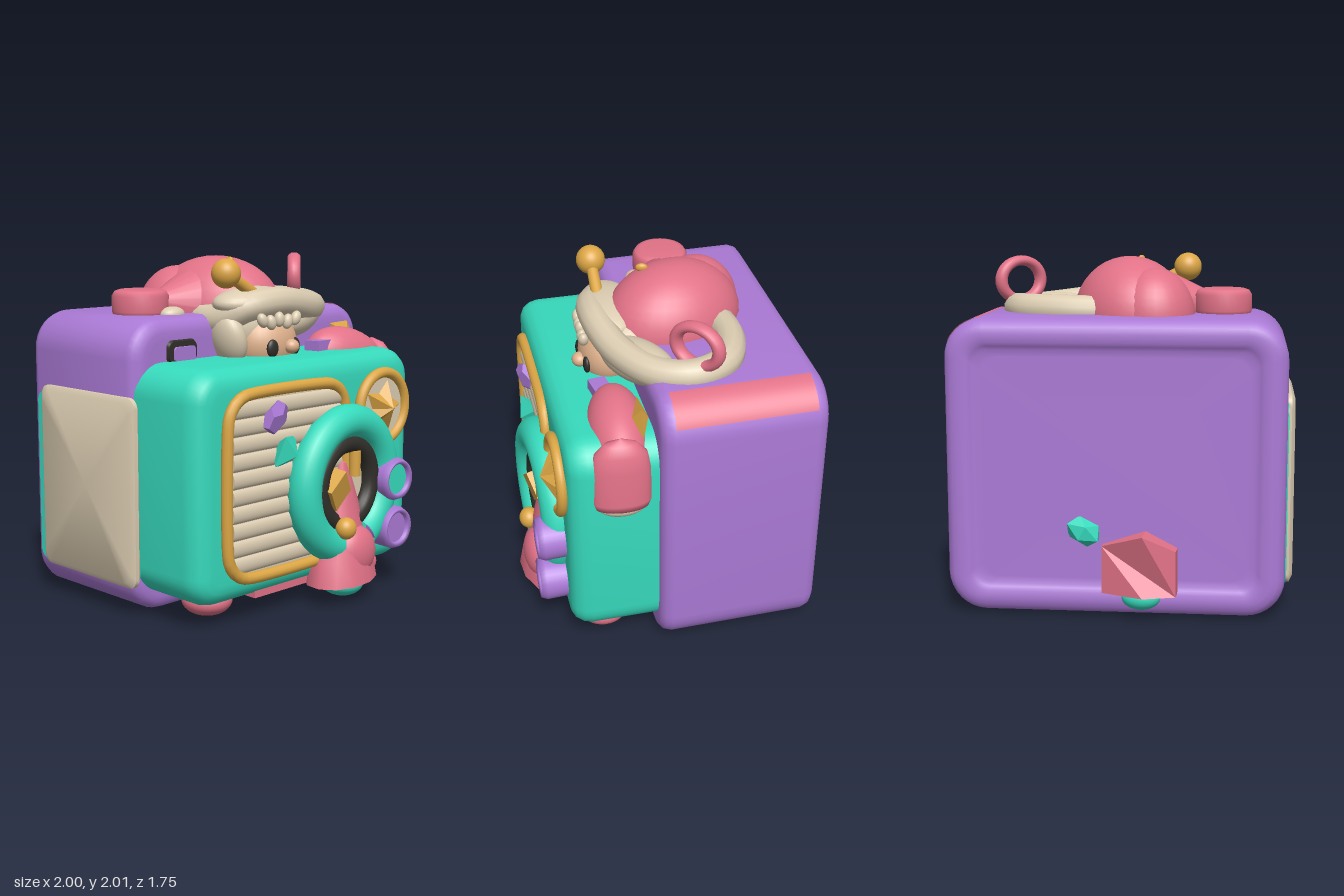
import * as THREE from 'three';
import { toCreasedNormals } from 'three/addons/utils/BufferGeometryUtils.js';

const mat = (name, color) => {
  const m = new THREE.MeshStandardMaterial({ color, side: THREE.DoubleSide });
  m.name = name;
  return m;
};
const V = (x, y, z) => new THREE.Vector3(x, y, z);

// Points around a rounded rectangle, counter-clockwise
function roundedLoop(w, h, r, seg = 8) {
  const pts = [];
  const corners = [[1, 1], [-1, 1], [-1, -1], [1, -1]];
  corners.forEach(([sx, sy], c) => {
    for (let i = 0; i <= seg; i++) {
      const a = (c + i / seg) * Math.PI / 2;
      pts.push([sx * (w / 2 - r) + r * Math.cos(a), sy * (h / 2 - r) + r * Math.sin(a)]);
    }
  });
  return pts;
}

// Stack of rounded rectangles along z; profile rows are [inset, z]
function loft(w, h, r, profile) {
  const pos = [], idx = [];
  let n = 0;
  for (const [inset, z] of profile) {
    const loop = roundedLoop(w - 2 * inset, h - 2 * inset, Math.max(r - inset, Math.min(r, 0.1)));
    n = loop.length;
    loop.forEach(([x, y]) => pos.push(x, y, z));
  }
  const last = profile.length - 1, c0 = profile.length * n, c1 = c0 + 1;
  pos.push(0, 0, profile[0][1], 0, 0, profile[last][1]);
  for (let j = 0; j < n; j++) {
    const k = (j + 1) % n;
    for (let i = 0; i < last; i++) {
      const a = i * n + j, b = i * n + k;
      idx.push(a, b, b + n, a, b + n, a + n);
    }
    idx.push(c0, k, j, c1, last * n + j, last * n + k);
  }
  const g = new THREE.BufferGeometry();
  g.setAttribute('position', new THREE.Float32BufferAttribute(pos, 3));
  g.setIndex(idx);
  return toCreasedNormals(g, 0.6);
}

export function createModel() {
  const purple = mat('purple', 0xab7ad6), teal = mat('teal', 0x37dabd), pink = mat('pink', 0xe27287),
    cream = mat('cream', 0xdccdb2), gold = mat('gold', 0xdca645), black = mat('black', 0x312f2a),
    skin = mat('skin', 0xdfb18c);
  const root = new THREE.Group();
  const group = (name, p, ry) => {
    const g = new THREE.Group();
    g.name = name;
    g.position.set(...p);
    g.rotation.y = ry;
    root.add(g);
    return g;
  };
  const add = (parent, name, geo, m, p = [0, 0, 0], rot = [0, 0, 0], s = [1, 1, 1]) => {
    const o = new THREE.Mesh(geo, m);
    o.name = name;
    o.position.set(...p);
    o.rotation.set(...rot);
    o.scale.set(...s);
    parent.add(o);
    return o;
  };
  const ball = (parent, name, m, p, s, rot) => add(parent, name, new THREE.SphereGeometry(1, 32, 20), m, p, rot, s);
  const tube = (parent, name, m, pts, r) =>
    add(parent, name, new THREE.TubeGeometry(new THREE.CatmullRomCurve3(pts, true), 80, r, 12, true), m);
  const rod = (parent, name, m, a, b, ra, rb) => {
    const d = b.clone().sub(a);
    const o = add(parent, name, new THREE.CylinderGeometry(rb, ra, d.length(), 20), m, a.clone().lerp(b, 0.5).toArray());
    o.quaternion.setFromUnitVectors(V(0, 1, 0), d.normalize());
  };
  const lathe = (pts, seg = 32) => new THREE.LatheGeometry(pts.map(([x, y]) => new THREE.Vector2(x, y)), seg);
  const faceted = (geo) => toCreasedNormals(geo, 0.1);

  // Rear body with a recessed back panel
  const rear = group('rearBody', [0.015, 0.845, -0.29], 0.065);
  add(rear, 'rearShell', loft(1.91, 1.67, 0.22, [[0.21, -0.445], [0.17, -0.446], [0.15, -0.458], [0.13, -0.47], [0.08, -0.47],
    [0.045, -0.463], [0.015, -0.44], [0, -0.4], [0, 0.4], [0.015, 0.44], [0.045, 0.463], [0.08, 0.47], [0.12, 0.47]]), purple);
  add(rear, 'edgeStripe', new THREE.CylinderGeometry(0.224, 0.224, 0.79, 20, 1, true, 0.12, Math.PI / 2 - 0.55), pink,
    [0.735, 0.615, 0], [-Math.PI / 2, 0, 0]);
  const sideProfile = [[0.02, -0.03], [0, -0.01], [0, 0.015], [0.03, 0.035]];
  add(rear, 'sidePanel', loft(0.84, 1.08, 0.06, sideProfile), cream, [-0.963, -0.125, 0.08], [0, -Math.PI / 2, 0]);
  add(rear, 'sidePanelBacking', loft(0.88, 1.02, 0.06, [[0, -0.02], [0, 0.012]]), teal, [-0.95, -0.14, 0.04], [0, -Math.PI / 2, 0]);
  add(rear, 'windowFrame', loft(0.23, 0.14, 0.04, [[0, 0], [0.01, 0.025]]), black, [-0.6, 0.645, 0.462]);
  add(rear, 'windowFill', loft(0.18, 0.1, 0.02, [[0, 0], [0.01, 0.03]]), purple, [-0.588, 0.632, 0.464]);

  // Ridged pocket on the back
  const pocket = new THREE.Shape([[-0.21, -0.17], [-0.03, -0.17], [0.21, -0.17], [0.21, 0.1], [-0.03, 0.18], [-0.21, 0.09]]
    .map(([x, y]) => new THREE.Vector2(x, y)));
  const pocketGeo = new THREE.ExtrudeGeometry(pocket, { depth: 0.15, bevelEnabled: false });
  const pp = pocketGeo.attributes.position;
  for (let i = 0; i < pp.count; i++)
    if (pp.getZ(i) < 0.01) pp.setZ(i, Math.abs(pp.getX(i) + 0.03) * 0.35);
  add(root, 'backPocket', faceted(pocketGeo), pink, [-0.16, 0.32, -0.875]);
  add(root, 'backGem', faceted(new THREE.IcosahedronGeometry(0.11)), teal, [0.16, 0.49, -0.74], [0, 0, 0.5], [1.05, 0.75, 0.7]);
  ball(root, 'backFoot', teal, [-0.17, 0.13, -0.77], [0.11, 0.07, 0.08]);

  // Front body
  const front = group('frontBody', [-0.037, 0, 0], 0.055);
  add(front, 'frontShell', loft(1.81, 1.31, 0.18, [[0, 0], [0, 0.56], [0.012, 0.61], [0.04, 0.65], [0.08, 0.67], [0.12, 0.675], [0.17, 0.675]]),
    teal, [0.045, 0.785, 0]);

  // Rippled grille in a round gold frame
  add(front, 'grillePanel', loft(0.94, 1.02, 0.14, [[0, 0.66], [0, 0.684]]), cream, [-0.17, 0.78, 0]);
  for (let i = 0; i < 10; i++)
    add(front, 'slat', new THREE.CylinderGeometry(1, 1, 0.88, 20), cream, [-0.17, 0.348 + i * 0.096, 0.679],
      [0, 0, Math.PI / 2], [0.048, 1, 0.026]);
  tube(front, 'grilleFrame', gold, roundedLoop(0.95, 1.03, 0.17, 4).map(([x, y]) => V(x - 0.17, y + 0.78, 0.69)), 0.034);
  add(front, 'purpleGem', faceted(new THREE.DodecahedronGeometry(0.115)), purple, [-0.3, 1.15, 0.71], [0.2, 0.3, 0.4], [1, 0.85, 0.45]);
  add(front, 'tealGem', faceted(new THREE.OctahedronGeometry(0.13)), teal, [-0.22, 0.95, 0.71], [0.3, 0.4, 0.5], [1, 0.9, 0.6]);

  // Large open ring with a dark liner, tilted a little
  const ringPos = [0.28, 0.69, 0.715], ringTilt = 0.06;
  add(front, 'bigRing', new THREE.TorusGeometry(0.37, 0.1, 20, 64, Math.PI * 2 - 0.75), teal, ringPos, [0, ringTilt, -1.1]);
  add(front, 'ringLiner', new THREE.TorusGeometry(0.24, 0.06, 16, 48), black, ringPos, [0, ringTilt, 0]);
  add(front, 'ringHub', new THREE.CircleGeometry(0.23, 32), cream, [0.28, 0.69, 0.695]);
  add(front, 'goldCube', new THREE.BoxGeometry(0.17, 0.17, 0.12), gold, [0.16, 0.68, 0.73], [0.2, 0.2, 0.65]);
  ball(front, 'goldBead', gold, [0.19, 0.45, 0.81], [0.065, 0.065, 0.06]);
  rod(front, 'goldPin', gold, V(0.34, 0.73, 0.74), V(0.34, 0.88, 0.74), 0.036, 0.036);

  // Pointed robe and its foot
  add(front, 'robe', toCreasedNormals(lathe([[0, 0.1], [0.29, 0.11], [0.25, 0.26], [0.175, 0.4], [0.13, 0.58], [0.04, 0.81], [0, 0.83]], 12), 0.7),
    pink, [0.29, 0, 0.69], [0, 0.26, 0], [1, 1, 0.66]);
  ball(front, 'robeFront', pink, [0.31, 0.28, 0.77], [0.16, 0.16, 0.1]);
  add(front, 'robeHem', new THREE.BoxGeometry(0.9, 0.06, 0.25), pink, [0.08, 0.14, 0.5]);
  ball(front, 'robeFoot', teal, [0.3, 0.085, 0.69], [0.13, 0.083, 0.13]);

  // Star badge
  add(front, 'badgeDisc', new THREE.CylinderGeometry(0.21, 0.21, 0.03, 40), cream, [0.64, 1.1, 0.68], [Math.PI / 2, 0, 0]);
  add(front, 'badgeRing', new THREE.TorusGeometry(0.21, 0.032, 14, 48), gold, [0.64, 1.1, 0.695]);
  const star = new THREE.ConeGeometry(0.185, 0.1, 10);
  const sp = star.attributes.position;
  for (let i = 0; i < sp.count; i++) {
    const k = Math.round(Math.atan2(sp.getX(i), sp.getZ(i)) / (Math.PI / 5));
    const f = k % 2 ? 0.55 : 1;
    sp.setXYZ(i, sp.getX(i) * f, sp.getY(i), sp.getZ(i) * f);
  }
  add(front, 'star', faceted(star), gold, [0.64, 1.1, 0.735], [Math.PI / 2, 0.35, 0]);

  // Two round knobs
  for (const [y, fill] of [[0.67, teal], [0.37, purple]]) {
    add(front, 'knob', lathe([[0.125, 0], [0.13, 0.13], [0.115, 0.165], [0.095, 0.155], [0.09, 0.12]]), purple, [0.66, y, 0.665], [Math.PI / 2, 0, 0]);
    add(front, 'knobFace', new THREE.CircleGeometry(0.1, 32), fill, [0.66, y, 0.8]);
  }

  // Feet and base pads
  for (const x of [-0.54, 0.66]) ball(root, 'foot', pink, [x, 0.09, 0.42], [0.145, 0.09, 0.15]);
  for (const x of [-0.2, 0.27])
    add(root, 'basePad', new THREE.CylinderGeometry(0.21, 0.2, 0.1, 40), black, [x, 0.054, 0.08], [0, 0, 0], [1, 1, 1.1]);
  add(root, 'baseCentre', new THREE.CylinderGeometry(0.2, 0.19, 0.1, 40), cream, [0.04, 0.05, 0.09], [0, 0, 0], [1, 1, 1.15]);

  // Draped shoulder with trims
  ball(root, 'shoulder', pink, [0.67, 1.36, 0.31], [0.32, 0.19, 0.17], [0, 0, -0.3]);
  add(root, 'sleeve', lathe([[0, -0.2], [0.15, -0.2], [0.165, -0.16], [0.165, 0.04], [0.145, 0.14], [0.09, 0.2], [0, 0.23]]),
    pink, [0.905, 1.25, 0.33], [0, 0, 0.06], [0.5, 1, 1]);
  ball(root, 'cuff', cream, [0.92, 1.05, 0.33], [0.06, 0.06, 0.13]);
  add(root, 'purpleTrim', new THREE.BoxGeometry(0.17, 0.06, 0.1), purple, [0.4, 1.47, 0.36], [0, 0.2, 0]);
  add(root, 'goldTrim', faceted(new THREE.OctahedronGeometry(0.1)), gold, [0.76, 1.51, 0.2], [0, 0, -0.5], [1.3, 0.8, 0.45]);

  // Face
  ball(root, 'head', skin, [0.03, 1.5, 0.27], [0.21, 0.19, 0.17]);
  for (const x of [-0.045, 0.145]) ball(root, 'eye', black, [x, 1.485, x < 0 ? 0.425 : 0.405], [0.042, 0.052, 0.022]);
  ball(root, 'nose', skin, [0.09, 1.49, 0.44], [0.048, 0.042, 0.045]);
  for (let i = 0; i < 5; i++)
    ball(root, 'hairTuft', cream, [-0.12 + i * 0.065, 1.65 - (i % 2) * 0.015, 0.42], [0.032, 0.045, 0.03], [0, 0, 0.5 - i * 0.25]);

  // Hood and rolled brim
  ball(root, 'hood', cream, [0.02, 1.6, 0.17], [0.33, 0.21, 0.2]);
  ball(root, 'hoodSide', cream, [-0.23, 1.54, 0.25], [0.085, 0.16, 0.13], [0, 0, 0.25]);
  ball(root, 'hoodFlank', cream, [0.4, 1.64, 0.15], [0.31, 0.12, 0.13], [0, 0.5, 0.15]);
  ball(root, 'brimFront', cream, [-0.03, 1.74, 0.25], [0.29, 0.095, 0.17]);
  tube(root, 'brim', cream, [V(-0.245, 1.65, 0.2), V(-0.16, 1.72, 0.32), V(0.06, 1.745, 0.345), V(0.38, 1.7, 0.25), V(0.6, 1.68, 0.07),
    V(0.665, 1.69, -0.12), V(0.58, 1.7, -0.3), V(0.32, 1.7, -0.38), V(0.05, 1.69, -0.32), V(-0.2, 1.66, -0.1)], 0.088);

  // Cap with a rear lobe, a tail and a knob
  ball(root, 'cap', pink, [-0.01, 1.66, -0.12], [0.33, 0.34, 0.42], [0, 0.38, 0]);
  ball(root, 'capLobe', pink, [-0.17, 1.66, -0.29], [0.24, 0.28, 0.25]);
  rod(root, 'capTail', pink, V(-0.12, 1.7, -0.13), V(-0.48, 1.74, -0.1), 0.29, 0.06);
  add(root, 'capKnob', lathe([[0, 0], [0.155, 0], [0.166, 0.03], [0.166, 0.12], [0.15, 0.145], [0.12, 0.155], [0, 0.155]]), pink, [-0.56, 1.665, -0.15]);
  ball(root, 'tailBlob', cream, [-0.46, 1.68, 0.02], [0.08, 0.045, 0.06]);
  ball(root, 'capDrop', gold, [-0.05, 1.975, 0.05], [0.018, 0.025, 0.035], [0, -0.2, 0]);

  // Hanging loop and antenna
  add(root, 'loop', new THREE.TorusGeometry(0.115, 0.03, 14, 40), pink, [0.65, 1.855, -0.13], [0, 0.8, 0], [1.18, 1, 1.4]);
  ball(root, 'antennaBall', gold, [-0.3, 1.92, 0.31], [0.085, 0.085, 0.085]);
  rod(root, 'antennaStick', gold, V(-0.28, 1.91, 0.31), V(-0.04, 1.77, 0.3), 0.032, 0.036);
  return root;
}
